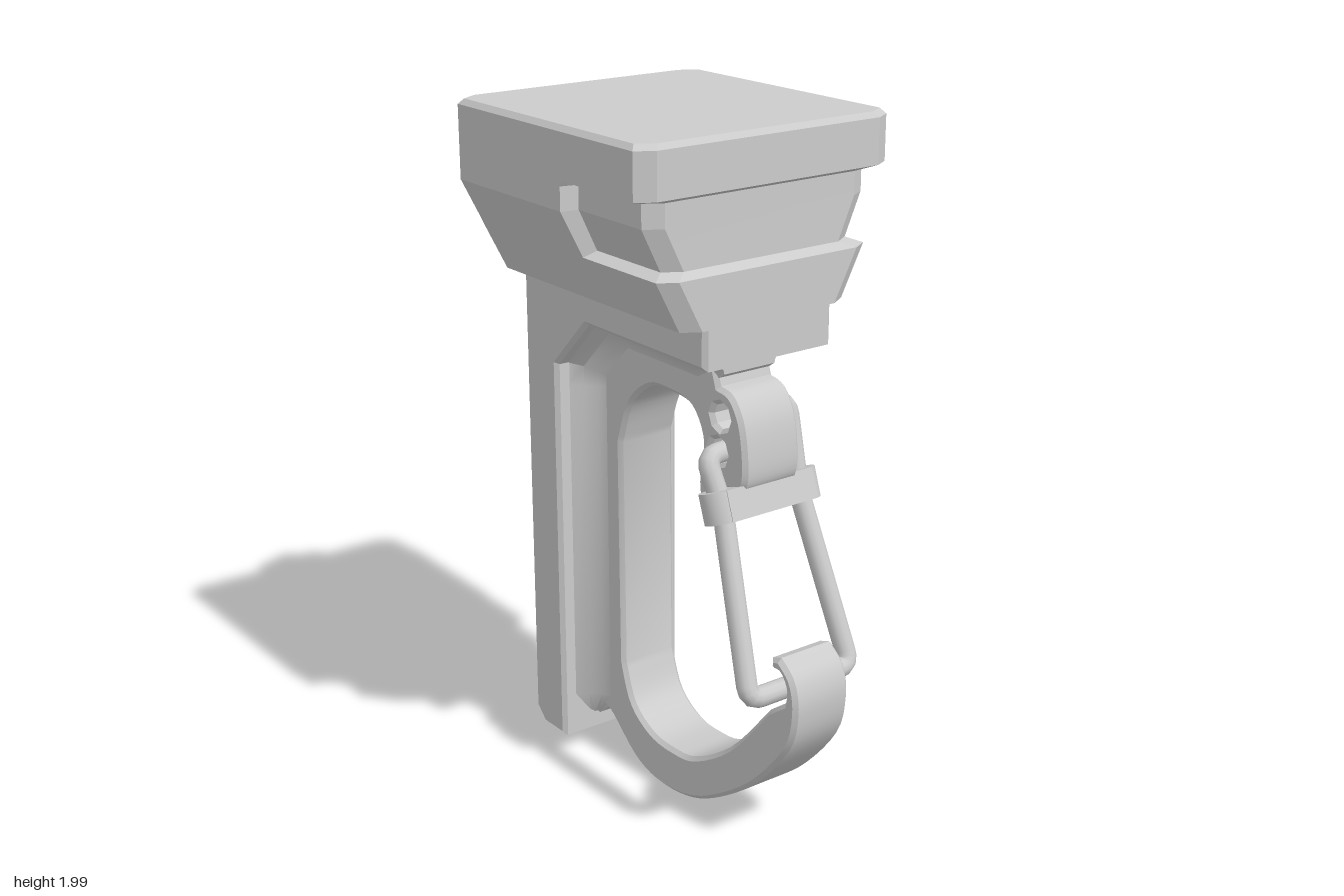
import * as THREE from 'three';
import { toCreasedNormals } from 'three/addons/utils/BufferGeometryUtils.js';

const material = new THREE.MeshStandardMaterial({ color: 0xcccccc });

function addMesh(parent, name, geometry) {
  const mesh = new THREE.Mesh(geometry, material);
  mesh.name = name;
  parent.add(mesh);
  return mesh;
}

// Skin a row of equal-sized rings, closed by a fan at each end
function loft(rings, crease) {
  const n = rings[0].length, pos = [], idx = [];
  rings.forEach(r => r.forEach(p => pos.push(...p)));
  for (let j = 0; j < rings.length - 1; j++)
    for (let i = 0; i < n; i++) {
      const a = j * n + i, b = j * n + (i + 1) % n;
      idx.push(a, b, b + n, a, b + n, a + n);
    }
  [0, rings.length - 1].forEach((j, end) => {
    const c = pos.length / 3;
    pos.push(...[0, 1, 2].map(k => rings[j].reduce((s, p) => s + p[k], 0) / n));
    for (let i = 0; i < n; i++) {
      const a = j * n + i, b = j * n + (i + 1) % n;
      idx.push(...(end ? [c, a, b] : [c, b, a]));
    }
  });
  const g = new THREE.BufferGeometry();
  g.setAttribute('position', new THREE.Float32BufferAttribute(pos, 3));
  g.setIndex(idx);
  return toCreasedNormals(g, crease);
}

// Extrude a side profile drawn in (z, y) to a chamfered plate centred on x = 0
function sidePlate(shape, halfWidth, bevel) {
  const depth = 2 * (halfWidth - bevel);
  const g = new THREE.ExtrudeGeometry(shape, {
    depth, bevelEnabled: true, bevelThickness: bevel, bevelSize: bevel,
    bevelOffset: -bevel, bevelSegments: 1, curveSegments: 4
  });
  g.translate(0, 0, -depth / 2);
  g.rotateY(-Math.PI / 2);
  return toCreasedNormals(g, 0.5);
}

// Round wire through points with eased bends
function wire(points, radius, bend) {
  const path = new THREE.CurvePath();
  const p = points.map(q => new THREE.Vector3(...q));
  let from = p[0];
  for (let i = 1; i < p.length - 1; i++) {
    const a = p[i].clone().add(p[i - 1].clone().sub(p[i]).setLength(bend));
    const b = p[i].clone().add(p[i + 1].clone().sub(p[i]).setLength(bend));
    path.add(new THREE.LineCurve3(from, a));
    path.add(new THREE.QuadraticBezierCurve3(a, p[i], b));
    from = b;
  }
  path.add(new THREE.LineCurve3(from, p[p.length - 1]));
  return new THREE.TubeGeometry(path, 120, radius, 12);
}

const vecs = list => list.map(([a, b]) => new THREE.Vector2(a, b));

export function createModel() {
  const root = new THREE.Group();
  root.name = 'clipHook';

  // Head block: half width w, notch depth d and edge inset e at each height
  const levels = [
    [1.51, 0.27, 0, 0], [1.65, 0.343, 0, 0], [1.665, 0.35, 0.045, 0],
    [1.78, 0.41, 0.05, 0], [1.845, 0.41, 0.05, 0], [1.86, 0.41, 0, 0],
    [1.985, 0.41, 0, 0], [2, 0.41, 0, 0.013]
  ];
  const headRings = levels.map(([y, w, d, e]) => {
    const front = 0.38 - d * 0.7 - e, back = -0.48 + e, s = w - e, f = s - d;
    const half = [[f - 0.05, front], [f, front - 0.03], [f, 0.045],
      [s, 0.035], [s, back + 0.03], [s - 0.05, back]];
    const other = half.map(([x, z]) => [-x, z]).reverse();
    return [...half, ...other].map(([x, z]) => [x, y, z]);
  });
  addMesh(root, 'headBlock', loft(headRings, 0.1));

  // Hex bolt on the back of the head
  const bolt = new THREE.Group();
  bolt.name = 'hexBolt';
  bolt.position.set(-0.007, 1.795, -0.47);
  bolt.rotation.set(-Math.PI / 2, 0.08, 0);
  const flat = g => toCreasedNormals(g, 0.1);
  addMesh(bolt, 'boltShank', flat(new THREE.CylinderGeometry(0.15, 0.15, 0.135, 6))).position.y = 0.0675;
  addMesh(bolt, 'boltChamfer', flat(new THREE.CylinderGeometry(0.132, 0.15, 0.015, 6))).position.y = 0.1425;
  root.add(bolt);

  // Neck and back spine
  const spine = new THREE.Shape(vecs([
    [0.38, 1.53], [0.38, 1.4], [-0.15, 1.4], [-0.3, 1.25], [-0.3, 0.07],
    [-0.41, 0.07], [-0.455, 0.115], [-0.455, 1.53]
  ]));
  addMesh(root, 'neckAndSpine', sidePlate(spine, 0.213, 0.012));

  // Flared fillet joining the hook plate to the neck and spine: z, y, normal, scale
  const filletPath = [
    [-0.305, 0.12, 1, 0, 0.15], [-0.305, 0.2, 1, 0, 1], [-0.305, 1.18, 1, 0, 1],
    [-0.305, 1.25, 1, -0.41, 1], [-0.15, 1.405, 0.41, -1, 1],
    [0.2, 1.405, 0, -1, 1], [0.3, 1.405, 0, -1, 0.45]
  ];
  const filletRings = filletPath.map(([z, y, nz, ny, s]) => {
    const half = [1, 0.75, 0.5, 0.25, 0].map(t => {
      const n = 0.12 * t * s, x = 0.085 + (0.02 + 0.07 * s) * (1 - t) ** 2;
      return [x, y + ny * n, z + nz * n];
    });
    return [...half, ...half.map(([x, b, c]) => [-x, b, c]).reverse()];
  });
  addMesh(root, 'hookFillet', loft(filletRings, 0.6));

  // Hook plate: outer sweep, curled tip, inner opening, then the gate nose
  const hook = new THREE.Shape();
  hook.moveTo(-0.33, 1.42);
  hook.lineTo(-0.33, 0.11);
  hook.lineTo(-0.3, 0.11);
  hook.splineThru(vecs([
    [-0.265, 0.15], [-0.22, 0.14], [-0.1, 0.045], [0.02, 0.012], [0.165, 0.03],
    [0.3, 0.095], [0.455, 0.21], [0.59, 0.37], [0.623, 0.49], [0.605, 0.58], [0.55, 0.63]
  ]));
  hook.lineTo(0.515, 0.618);
  hook.lineTo(0.52, 0.59);
  hook.splineThru(vecs([[0.555, 0.585], [0.577, 0.55], [0.572, 0.505]]));
  hook.lineTo(0.51, 0.46);
  hook.splineThru(vecs([
    [0.35, 0.28], [0.19, 0.175], [0.085, 0.155], [-0.02, 0.165],
    [-0.11, 0.225], [-0.155, 0.34]
  ]));
  hook.lineTo(-0.16, 1.03);
  hook.splineThru(vecs([
    [-0.11, 1.16], [-0.02, 1.235], [0.075, 1.245], [0.165, 1.23], [0.212, 1.165],
    [0.212, 1.1], [0.2, 1.03], [0.215, 0.96], [0.265, 0.93], [0.31, 0.955]
  ]));
  hook.lineTo(0.325, 1.04);
  hook.splineThru(vecs([
    [0.385, 1.05], [0.402, 1.11], [0.385, 1.23], [0.34, 1.3], [0.285, 1.315]
  ]));
  hook.lineTo(0.25, 1.42);
  const pins = [[0.295, 1.235], [0.285, 1.135]];
  pins.forEach(([z, y]) => {
    const hole = new THREE.Path();
    hole.absarc(z, y, 0.036, 0, Math.PI * 2, true);
    hook.holes.push(hole);
  });
  addMesh(root, 'hookPlate', sidePlate(hook, 0.095, 0.012));

  // Wire gate: its two ends pivot in the offset holes
  addMesh(root, 'wireGate', wire([
    [0.03, 1.235, 0.295], [0.135, 1.235, 0.295], [0.13, 1.0, 0.355], [0.177, 0.525, 0.53],
    [-0.177, 0.525, 0.53], [-0.13, 1.0, 0.355], [-0.145, 1.135, 0.3], [-0.03, 1.135, 0.285]
  ], 0.029, 0.04));

  // Strap across the gate, wrapping each wire
  const strap = new THREE.Group();
  strap.name = 'gateStrap';
  strap.position.set(0, 1.01, 0.352);
  strap.rotation.x = -0.34;
  addMesh(strap, 'strapFront', new THREE.BoxGeometry(0.29, 0.085, 0.02)).position.z = 0.045;
  const collarShape = new THREE.Shape();
  collarShape.absarc(0, 0, 0.055, 0, Math.PI * 2);
  const collarGeo = new THREE.ExtrudeGeometry(collarShape, { depth: 0.085, bevelEnabled: false, curveSegments: 10 });
  collarGeo.translate(0, 0, -0.0425);
  collarGeo.rotateX(Math.PI / 2);
  [-1, 1].forEach(side => {
    addMesh(strap, side > 0 ? 'leftCollar' : 'rightCollar', toCreasedNormals(collarGeo, 0.7)).position.x = side * 0.131;
  });
  root.add(strap);

  return root;
}
